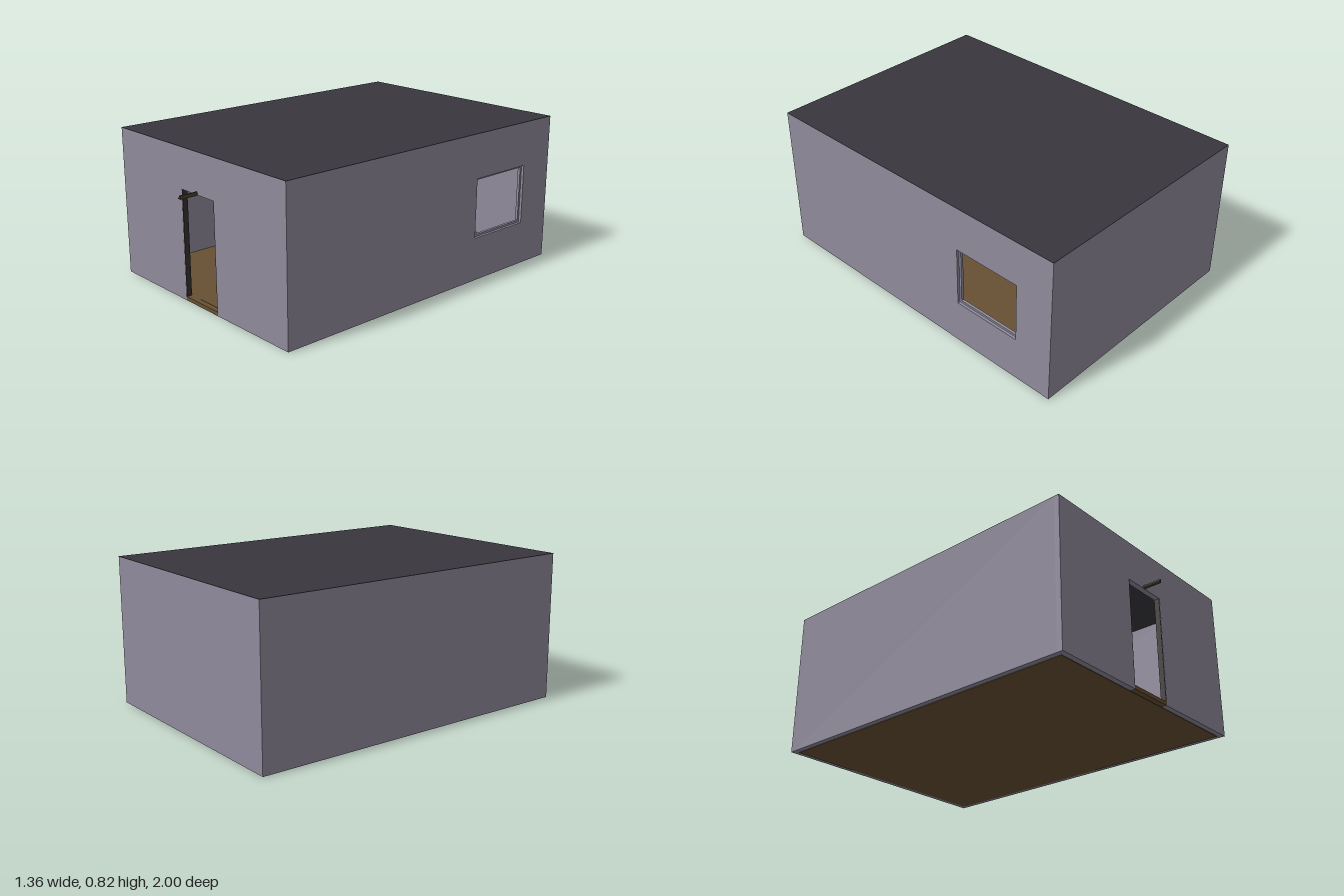
import * as THREE from 'three';

const W = 0.68, BACK = -1, FRONT = 0.9, BASE = 0.003, TOP = 0.818, T = 0.03;

const mat = (name, color) => {
  const m = new THREE.MeshStandardMaterial({ color });
  m.name = name;
  return m;
};

export function createModel() {
  const wall = mat('wall grey', 0x8f8a9b);
  const roofing = mat('roof charcoal', 0x39373d);
  const wood = mat('floor wood', 0x675033);
  const dark = mat('dark trim', 0x35302f);
  const olive = mat('bracket olive', 0x45422c);

  const room = new THREE.Group();
  room.name = 'room';

  const add = (name, geometry, material) => {
    const mesh = new THREE.Mesh(geometry, material);
    mesh.name = name;
    room.add(mesh);
    return mesh;
  };
  // Box given by its minimum and maximum corners
  const box = (name, material, x0, y0, z0, x1, y1, z1) =>
    add(name, new THREE.BoxGeometry(x1 - x0, y1 - y0, z1 - z0), material)
      .position.set((x0 + x1) / 2, (y0 + y1) / 2, (z0 + z1) / 2);
  const outline = (points) => points.map(([x, y]) => new THREE.Vector2(x, y));
  const rect = (x0, y0, x1, y1) => outline([[x0, y0], [x1, y0], [x1, y1], [x0, y1]]);
  const panel = (points, depth, hole) => {
    const shape = new THREE.Shape(points);
    if (hole) shape.holes.push(new THREE.Path(hole));
    return new THREE.ExtrudeGeometry(shape, { depth, bevelEnabled: false });
  };

  // Front wall with doorway notch
  const D = 0.135, doorTop = 0.6;
  add('frontWall', panel(outline([
    [-W, BASE], [-D, BASE], [-D, doorTop], [D, doorTop],
    [D, BASE], [W, BASE], [W, TOP], [-W, TOP],
  ]), T), wall).position.z = FRONT - T;

  // Back and right-hand walls
  box('backWall', wall, -W, BASE, BACK, W, TOP, BACK + T);
  box('rightWall', wall, -W, BASE, BACK + T, -W + T, TOP, FRONT - T);

  // Left wall with window; panel x runs towards the back once turned
  const [a, b, sill, head] = [0.395, 0.785, 0.245, 0.575];
  const leftWall = add('leftWall', panel(
    rect(-FRONT + T, BASE, -BACK - T, TOP), T, rect(a, sill, b, head)), wall);
  leftWall.rotation.y = Math.PI / 2;
  leftWall.position.x = W - T;

  // Slim window frame set inside the opening
  const f = 0.012;
  const frame = add('windowFrame', panel(
    rect(a, sill, b, head), 0.015, rect(a + f, sill + f, b - f, head - f)), wall);
  frame.rotation.y = Math.PI / 2;
  frame.position.x = W - T;

  // Floor and doorway threshold
  box('floor', wood, -W + T, 0, BACK + T, W - T, 0.025, FRONT - T);
  box('threshold', wood, -D, BASE, FRONT - T, D, 0.024, FRONT);

  // Ceiling slab and roof sheet over the wall tops
  box('ceiling', roofing, -W + T, 0.785, BACK + T, W - T, TOP, FRONT - T);
  box('roof', roofing, -W, TOP, BACK, W, 0.82, FRONT);

  // Dark jamb strips
  for (const s of [-1, 1]) {
    const x = s * (D - 0.002);
    box('doorJamb', dark, x - 0.002, 0.024, FRONT - T, x + 0.002, doorTop, FRONT - 0.001);
  }

  // Angle bracket over the doorway
  box('bracketFoot', olive, -0.018, 0.597, FRONT, 0, 0.603, 1);
  box('bracketUpright', olive, -0.007, 0.603, FRONT, 0, 0.617, 1);

  return room;
}
